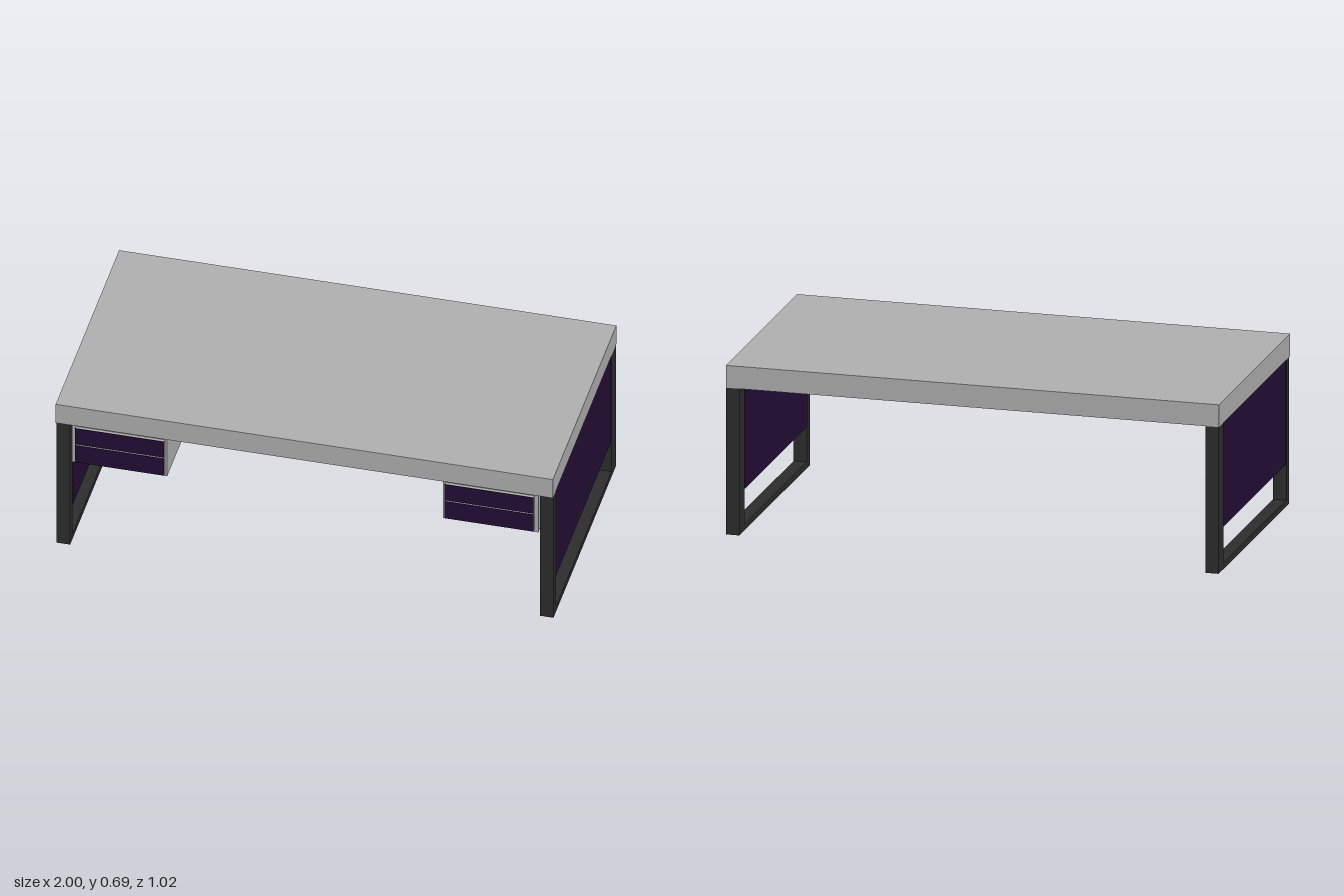
import * as THREE from 'three';

const grey = new THREE.MeshStandardMaterial({ color: 0xb2b2b2 });
grey.name = 'light grey';
const dark = new THREE.MeshStandardMaterial({ color: 0x2d2d2d });
dark.name = 'charcoal frame';
const purple = new THREE.MeshStandardMaterial({ color: 0x230d35 });
purple.name = 'deep purple';

// Box given by its minimum and maximum on each axis
function block(name, material, [x0, x1], [y0, y1], [z0, z1]) {
  const mesh = new THREE.Mesh(new THREE.BoxGeometry(x1 - x0, y1 - y0, z1 - z0), material);
  mesh.position.set((x0 + x1) / 2, (y0 + y1) / 2, (z0 + z1) / 2);
  mesh.name = name;
  return mesh;
}

// Same box, mirrored to the side given by s
const sideRange = (s, a, b) => (s > 0 ? [a, b] : [-b, -a]);

export function createModel() {
  const desk = new THREE.Group();
  desk.name = 'desk';
  desk.add(block('desktop', grey, [-1, 1], [0.597, 0.688], [-0.511, 0.511]));

  for (const s of [-1, 1]) {
    const side = s > 0 ? 'left' : 'right';

    // Leg frame: two posts and a floor bar
    const leg = new THREE.Group();
    leg.name = side + 'LegFrame';
    const legX = sideRange(s, 0.945, 0.999);
    leg.add(
      block('frontPost', dark, legX, [0, 0.597], [0.458, 0.498]),
      block('rearPost', dark, legX, [0, 0.597], [-0.51, -0.437]),
      block('floorBar', dark, legX, [0, 0.025], [-0.437, 0.458]),
      block('sidePanel', purple, sideRange(s, 0.943, 0.997), [0.17, 0.597], [-0.437, 0.458])
    );
    desk.add(leg);

    // Hanging cabinet with two drawers
    const cabinet = new THREE.Group();
    cabinet.name = side + 'Cabinet';
    cabinet.add(block('cabinetBody', grey, sideRange(s, 0.555, 0.938), [0.407, 0.597], [0.265, 0.497]));
    for (const [y0, y1] of [[0.418, 0.501], [0.507, 0.584]]) {
      const x = sideRange(s, 0.564, 0.922);
      cabinet.add(
        block('drawerEdge', grey, x, [y0, y1], [0.497, 0.509]),
        block('drawerFace', purple, x, [y0, y1], [0.509, 0.511])
      );
    }
    desk.add(cabinet);
  }
  return desk;
}
